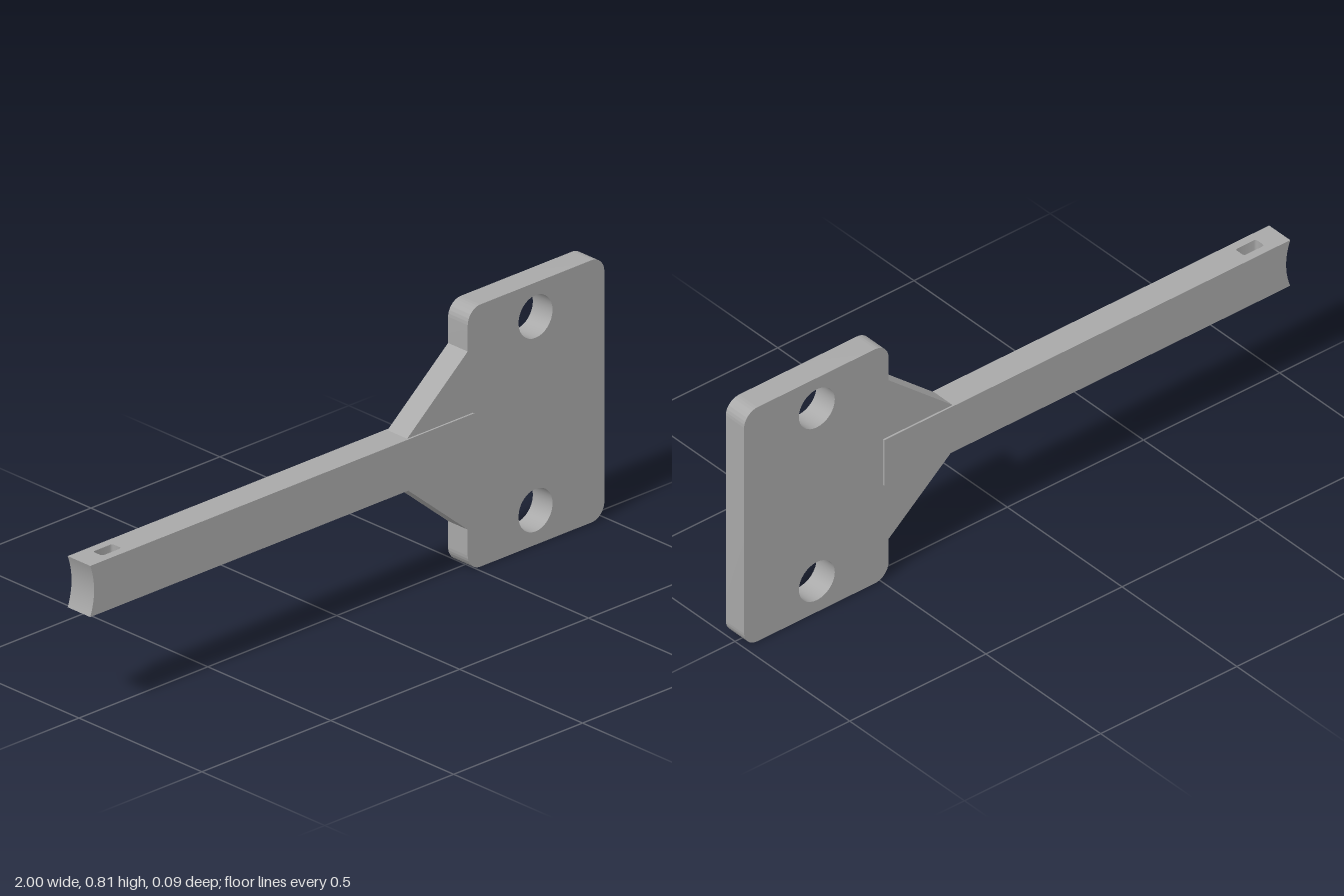
import * as THREE from 'three';
import { toCreasedNormals } from 'three/addons/utils/BufferGeometryUtils.js';

const MID_Y = 0.406; // height of the bar's axis
const BAR_H = 0.158, BAR_D = 0.092, PLATE_D = 0.08;

// Extrude a shape symmetrically about z = 0
function slab(shape, depth) {
  const g = new THREE.ExtrudeGeometry(shape, { depth, bevelEnabled: false, curveSegments: 16 });
  g.translate(0, 0, -depth / 2);
  return toCreasedNormals(g, Math.PI / 6);
}

function roundedRect(path, x0, y0, x1, y1, r) {
  path.moveTo(x0 + r, y0);
  path.lineTo(x1 - r, y0);
  path.absarc(x1 - r, y0 + r, r, -Math.PI / 2, 0);
  path.lineTo(x1, y1 - r);
  path.absarc(x1 - r, y1 - r, r, 0, Math.PI / 2);
  path.lineTo(x0 + r, y1);
  path.absarc(x0 + r, y1 - r, r, Math.PI / 2, Math.PI);
  path.lineTo(x0, y0 + r);
  path.absarc(x0 + r, y0 + r, r, Math.PI, Math.PI * 1.5);
  return path;
}

export function createModel() {
  const group = new THREE.Group();
  const grey = new THREE.MeshStandardMaterial({ color: 0xa8a8a8 });
  grey.name = 'grey metal';
  const add = (name, geometry) => {
    const mesh = new THREE.Mesh(geometry, grey);
    mesh.name = name;
    group.add(mesh);
    return mesh;
  };

  // Mounting plate with rounded corners, tapered neck and two bolt holes
  const left = 0.47, right = 1, top = 0.81, r = 0.05;
  const h = BAR_H / 2;
  const plate = new THREE.Shape();
  plate.moveTo(left + r, 0);
  plate.lineTo(right - r, 0);
  plate.absarc(right - r, r, r, -Math.PI / 2, 0);
  plate.lineTo(right, top - r);
  plate.absarc(right - r, top - r, r, 0, Math.PI / 2);
  plate.lineTo(left + r, top);
  plate.absarc(left + r, top - r, r, Math.PI / 2, Math.PI);
  plate.lineTo(left, 0.68);
  plate.lineTo(0.235, MID_Y + h);
  plate.lineTo(0.235, MID_Y - h);
  plate.lineTo(left, 0.13);
  plate.lineTo(left, r);
  plate.absarc(left + r, r, r, Math.PI, Math.PI * 1.5);
  for (const side of [-1, 1]) {
    plate.holes.push(new THREE.Path().absarc(0.733, MID_Y + side * 0.299, 0.066, 0, Math.PI * 2, true));
  }
  add('mountingPlate', slab(plate, PLATE_D));

  // Long bar with a small slot running vertically through it
  const joint = -0.95, barEnd = 0.49;
  const bar = roundedRect(new THREE.Shape(), joint, -BAR_D / 2, barEnd, BAR_D / 2, 0);
  bar.holes.push(roundedRect(new THREE.Path(), -0.928, -0.019, -0.853, 0.019, 0.008));
  const barMesh = add('slottedBar', slab(bar, BAR_H));
  barMesh.rotation.x = -Math.PI / 2;
  barMesh.position.y = MID_Y;

  // Concave tip that closes the bar
  const tip = new THREE.Shape();
  tip.moveTo(-1, MID_Y - h);
  tip.lineTo(joint, MID_Y - h);
  tip.lineTo(joint, MID_Y + h);
  tip.lineTo(-1, MID_Y + h);
  tip.quadraticCurveTo(-0.97, MID_Y, -1, MID_Y - h);
  add('concaveTip', slab(tip, BAR_D));

  return group;
}
